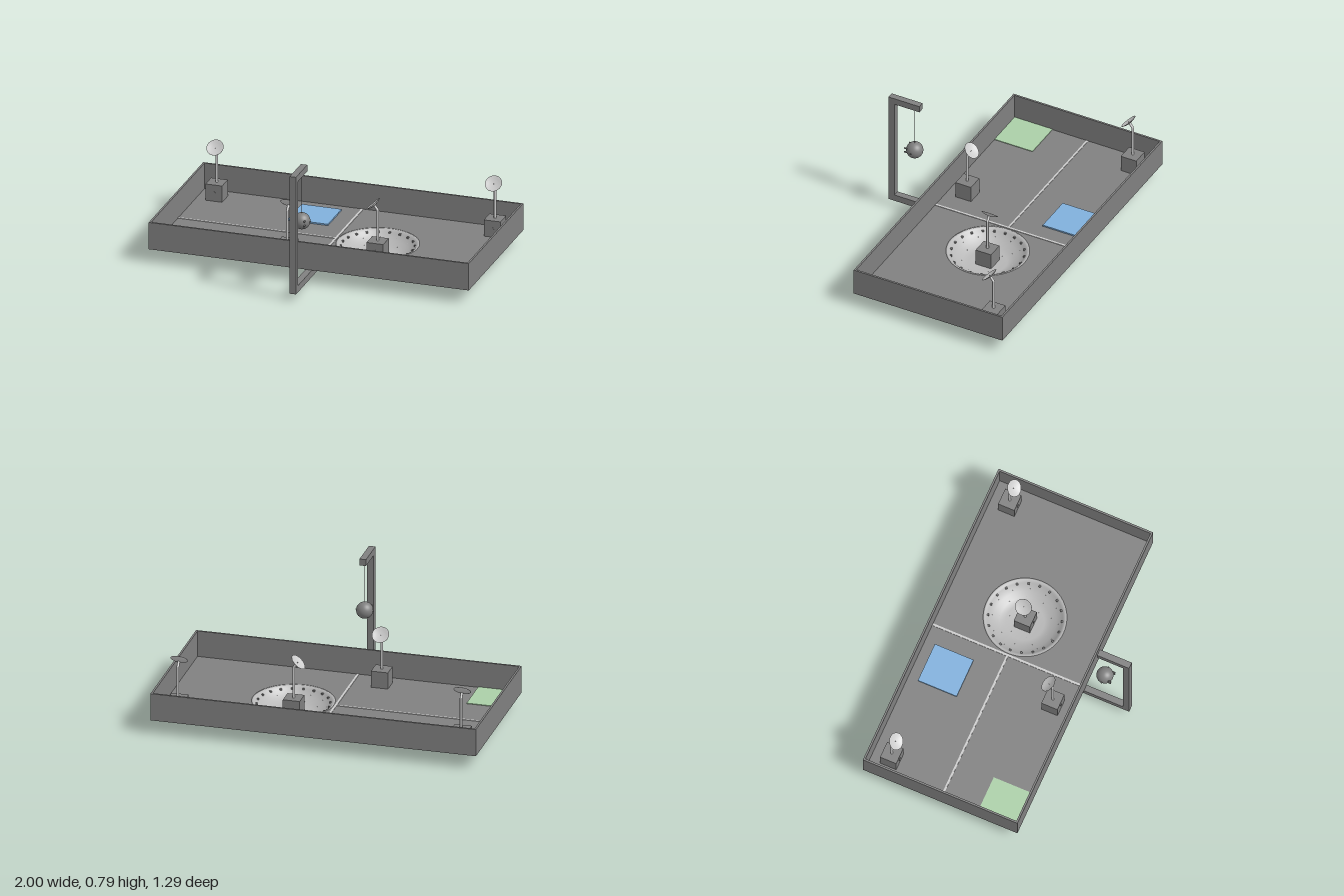
import * as THREE from 'three';

const light = new THREE.MeshStandardMaterial({ color: 0xcccccc });
const bowlGrey = new THREE.MeshStandardMaterial({ color: 0xb8b8b8 });
const dark = new THREE.MeshStandardMaterial({ color: 0x808080 });
const blue = new THREE.MeshStandardMaterial({ color: 0x80b0dc });
const green = new THREE.MeshStandardMaterial({ color: 0xabcfa8 });
const UP = new THREE.Vector3(0, 1, 0);

function add(parent, name, geometry, material) {
  const mesh = new THREE.Mesh(geometry, material);
  mesh.name = name;
  parent.add(mesh);
  return mesh;
}

// Box given by its two extreme corners
function block(parent, name, [x0, y0, z0], [x1, y1, z1], material = dark) {
  const mesh = add(parent, name, new THREE.BoxGeometry(x1 - x0, y1 - y0, z1 - z0), material);
  mesh.position.set((x0 + x1) / 2, (y0 + y1) / 2, (z0 + z1) / 2);
  return mesh;
}

// Round bar between two points
function rod(parent, name, a, b, radius, material, sides = 24) {
  const from = new THREE.Vector3(...a), to = new THREE.Vector3(...b);
  const dir = to.clone().sub(from);
  const mesh = add(parent, name, new THREE.CylinderGeometry(radius, radius, dir.length(), sides), material);
  mesh.position.copy(from).add(to).multiplyScalar(0.5);
  mesh.quaternion.setFromUnitVectors(UP, dir.normalize());
  return mesh;
}

// Turned shape from [radius, height] pairs
function lathe(points, sides) {
  return new THREE.LatheGeometry(points.map(p => new THREE.Vector2(...p)), sides);
}

// Open tray with a round opening in its floor
function makeTray() {
  const g = new THREE.Group();
  g.name = 'tray';
  const x = 1, back = -0.645, front = 0.353, t = 0.012, y0 = 0.087, y1 = 0.258;
  const shape = new THREE.Shape([[-x, -front], [x, -front], [x, -back], [-x, -back]]
    .map(p => new THREE.Vector2(...p)));
  shape.holes.push(new THREE.Path().absarc(0.26, 0.15, 0.244, 0, Math.PI * 2, true));
  const floor = new THREE.ExtrudeGeometry(shape, { depth: 0.008, bevelEnabled: false, curveSegments: 64 });
  add(g, 'floor', floor.rotateX(-Math.PI / 2), dark).position.y = y0;
  const wallY = y0 + 0.008;
  block(g, 'frontWall', [-x, wallY, front - t], [x, y1, front]);
  block(g, 'backWall', [-x, wallY, back], [x, y1, back + t]);
  for (const s of [-1, 1]) {
    const inner = s * (x - t), outer = s * x;
    block(g, 'sideWall', [Math.min(inner, outer), wallY, back + t], [Math.max(inner, outer), y1, front - t]);
  }
  // Flat dividing strips and coloured pads
  block(g, 'longDivider', [-0.007, 0.09, back + t], [0.007, 0.098, front - t], light);
  block(g, 'crossDivider', [-x + t, 0.09, -0.155], [-0.007, 0.098, -0.143], light);
  block(g, 'bluePad', [-0.36, 0.09, -0.57], [-0.11, 0.104, -0.32], blue);
  block(g, 'greenPad', [-0.988, 0.09, 0.085], [-0.737, 0.099, 0.34], green);
  return g;
}

// Sunken bowl with rim tabs and rivets
function makeBowl() {
  const g = new THREE.Group();
  g.name = 'bowl';
  g.position.set(0.26, 0, -0.15);
  const profile = [[0, 0.002], [0.115, 0.003], [0.138, 0.011], [0.146, 0.019], [0.158, 0.021],
    [0.178, 0.03], [0.202, 0.047], [0.217, 0.064], [0.226, 0.082], [0.244, 0.089], [0.248, 0.096],
    [0.24, 0.0965], [0.231, 0.092], [0.222, 0.082], [0.209, 0.067], [0.185, 0.047],
    [0.15, 0.028], [0.115, 0.015], [0, 0.012]];
  add(g, 'bowlShell', lathe(profile, 72), bowlGrey);
  const tabs = 20;
  for (let i = 0; i < tabs; i++) {
    const a = (i / tabs) * Math.PI * 2;
    const tab = add(g, 'rimTab', new THREE.BoxGeometry(0.045, 0.009, 0.012), dark);
    tab.position.set(Math.cos(a) * 0.236, 0.081, Math.sin(a) * 0.236);
    tab.rotation.y = -a;
  }
  for (const [r, y, n] of [[0.1, 0.014, 6], [0.155, 0.03, 9], [0.198, 0.057, 12]]) {
    for (let i = 0; i < n; i++) {
      const a = ((i + 0.5) / n) * Math.PI * 2;
      const rivet = add(g, 'rivet', new THREE.SphereGeometry(0.0022, 6, 4), bowlGrey);
      rivet.position.set(Math.cos(a) * r, y, Math.sin(a) * r);
    }
  }
  return g;
}

// Cube base, bent mast and tilted dish; it looks up and toward local +z
function makeDish(x, y, z, turn) {
  const g = new THREE.Group();
  g.name = 'dishStation';
  g.position.set(x, y, z);
  block(g, 'stationBase', [-0.052, 0, -0.052], [0.052, 0.104, 0.052]);
  rod(g, 'baseKnob', [0, 0.052, 0.05], [0, 0.052, 0.0535], 0.01, dark);
  const head = new THREE.Group();
  head.name = 'dishHead';
  head.rotation.y = turn;
  g.add(head);
  rod(head, 'mast', [0, 0.1, 0], [0, 0.297, 0], 0.0078, light);
  add(head, 'mastElbow', new THREE.SphereGeometry(0.0079, 20, 12), light).position.y = 0.297;
  rod(head, 'mastNeck', [0, 0.297, 0], [0, 0.324, 0.02], 0.0078, light);
  const profile = [[0, -0.008], [0.018, -0.0065], [0.036, -0.002], [0.052, 0.005],
    [0.052, 0.007], [0.036, 0.001], [0.018, -0.0025], [0, -0.004]];
  const dish = add(head, 'dish', lathe(profile, 40), light);
  dish.position.set(0, 0.33, 0.025);
  dish.rotation.x = Math.PI * 0.24;
  rod(dish, 'dishFeed', [0, -0.005, 0], [0, 0.004, 0], 0.0015, light, 8);
  return g;
}

// Bracket with a ball hanging on a wire
function makeHanger() {
  const g = new THREE.Group();
  g.name = 'hanger';
  const w = 0.02;
  block(g, 'bracketFoot', [-w, 0.045, 0.105], [w, 0.087, 0.605]);
  block(g, 'bracketPost', [-w, 0.045, 0.605], [w, 0.793, 0.645]);
  block(g, 'bracketArm', [-w, 0.752, 0.438], [w, 0.793, 0.605]);
  rod(g, 'wire', [0, 0.495, 0.48], [0, 0.755, 0.48], 0.001, dark, 6);
  const ball = add(g, 'ball', new THREE.SphereGeometry(0.051, 32, 24), dark);
  ball.position.set(0, 0.45, 0.48);
  // Forward studs and side pins, mirrored
  for (const s of [-1, 1]) {
    for (const y of [-0.012, 0.015]) {
      rod(ball, 'ballStud', [s * 0.031, y, 0.03], [s * 0.031, y, 0.053], 0.005, dark, 12);
    }
    rod(ball, 'sidePin', [s * 0.045, 0, 0], [s * 0.056, 0, 0], 0.004, dark, 12);
  }
  return g;
}

export function createModel() {
  const model = new THREE.Group();
  model.name = 'trayDiorama';
  model.add(makeTray(), makeBowl(), makeHanger());
  const floorY = 0.095;
  model.add(
    makeDish(-0.872, floorY, -0.515, 0),
    makeDish(0.868, floorY, -0.515, 0),
    makeDish(-0.178, floorY, 0.222, Math.PI),
    makeDish(0.26, 0.012, -0.148, -Math.PI / 2),
  );
  return model;
}
